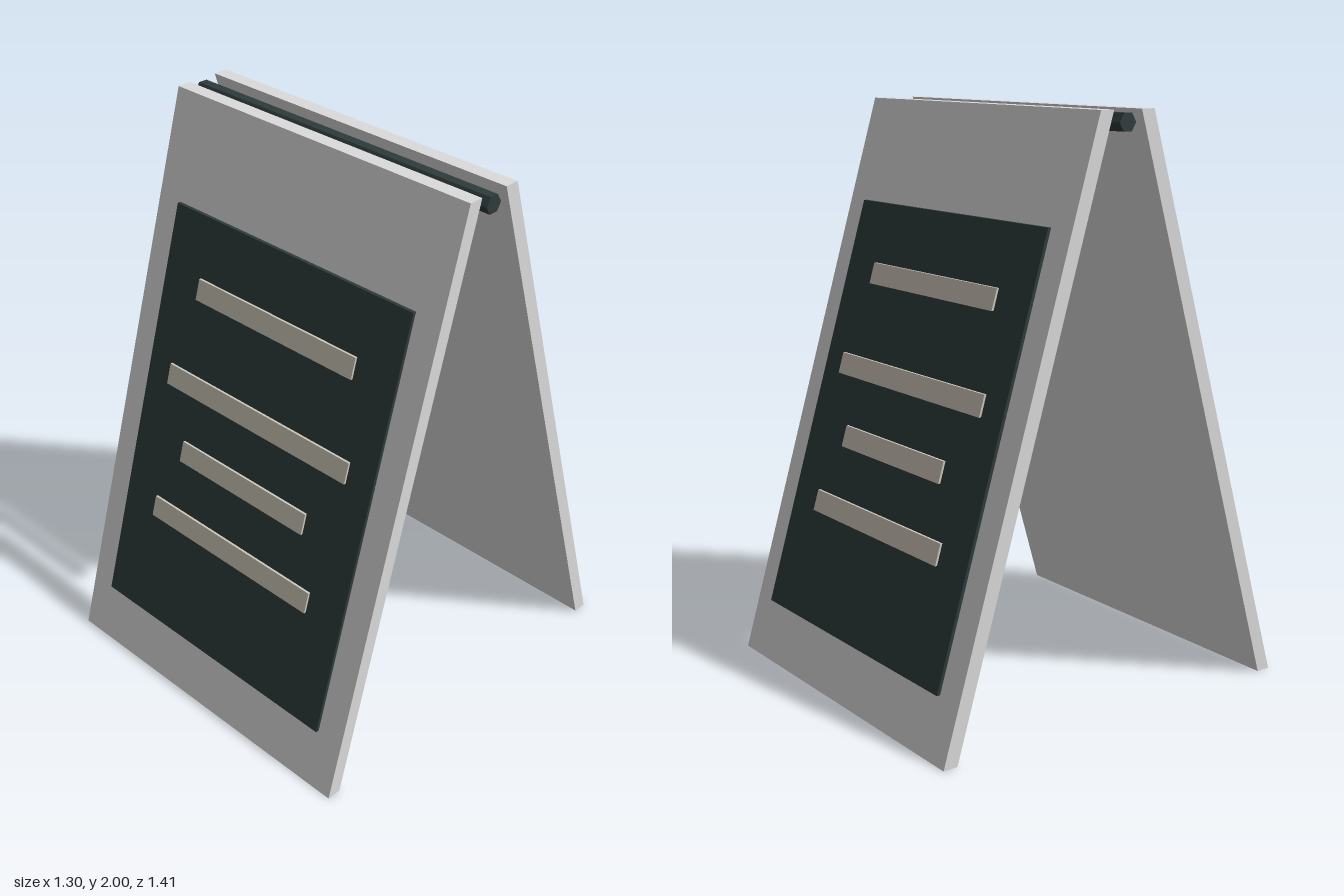
import * as THREE from 'three';

const SLOPE = 0.2985; // lean of each panel, z per unit of height
const outerZ = (y) => 0.705 - SLOPE * y;

// Box sheared along the lean: level top and bottom, z0..z1 measured from the outer panel face
function leaningSlab(name, width, y0, y1, z0, z1, material) {
  const geo = new THREE.BoxGeometry(width, y1 - y0, z1 - z0);
  geo.translate(0, (y0 + y1) / 2, (z0 + z1) / 2);
  const p = geo.attributes.position;
  for (let i = 0; i < p.count; i++) p.setZ(i, p.getZ(i) + outerZ(p.getY(i)));
  geo.computeVertexNormals();
  const mesh = new THREE.Mesh(geo, material);
  mesh.name = name;
  return mesh;
}

export function createModel() {
  const frameMat = new THREE.MeshStandardMaterial({ color: 0xdcdcdc });
  frameMat.name = 'pale grey';
  const darkMat = new THREE.MeshStandardMaterial({ color: 0x2f3b3b });
  darkMat.name = 'slate';
  const chalkMat = new THREE.MeshStandardMaterial({ color: 0xcec8bb });
  chalkMat.name = 'chalk';

  const model = new THREE.Group();
  model.name = 'sandwichBoard';

  // Two mirrored leaves, each with a dark board and four pale bars: [centre y, width]
  const bars = [[1.4, 0.74], [1.077, 0.87], [0.842, 0.61], [0.6, 0.78]];
  for (const side of ['front', 'back']) {
    const leaf = new THREE.Group();
    leaf.name = side + 'Leaf';
    leaf.add(leaningSlab('panel', 1.3, 0, 2, -0.052, 0, frameMat));
    leaf.add(leaningSlab('writingBoard', 1.09, 0.2, 1.64, -0.002, 0.012, darkMat));
    bars.forEach(([y, w], i) =>
      leaf.add(leaningSlab('bar' + (i + 1), w, y - 0.036, y + 0.036, 0.011, 0.02, chalkMat)));
    if (side === 'back') leaf.rotation.y = Math.PI;
    model.add(leaf);
  }

  // Hexagonal hinge rod between the top edges
  const rodGeo = new THREE.CylinderGeometry(0.033, 0.033, 1.3, 6).toNonIndexed();
  rodGeo.computeVertexNormals();
  const rod = new THREE.Mesh(rodGeo, darkMat);
  rod.name = 'hingeRod';
  rod.rotation.z = Math.PI / 2;
  rod.position.y = 1.96;
  model.add(rod);

  return model;
}
